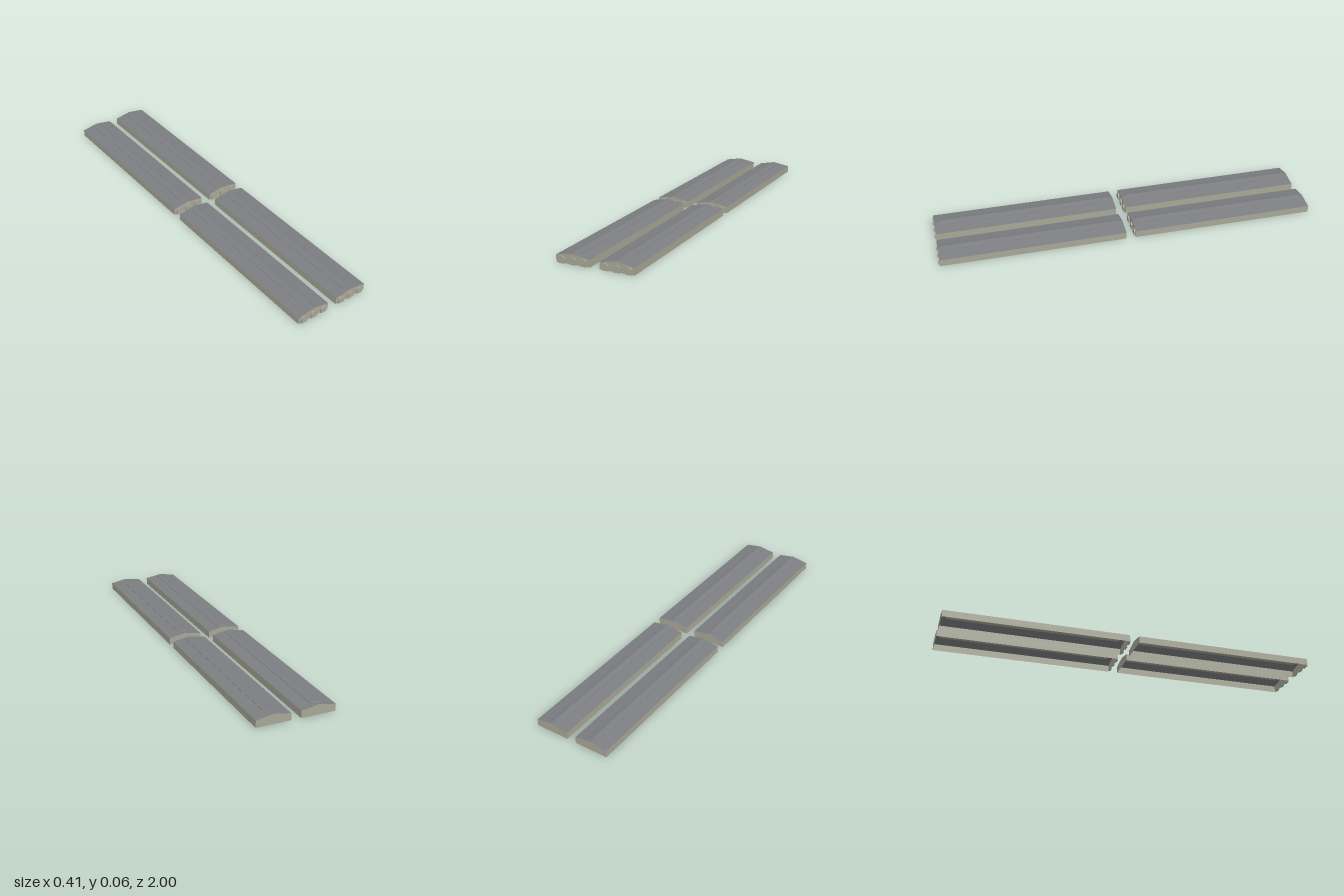
import * as THREE from 'three';

const wallMat = new THREE.MeshStandardMaterial({ color: 0xa8a797, side: THREE.DoubleSide });
const roofMat = new THREE.MeshStandardMaterial({ color: 0x7c7e81, side: THREE.DoubleSide });
wallMat.name = 'paleStone';
roofMat.name = 'greyRoof';

const HALF = 0.0895;   // half width of a hall
const LENGTH = 0.971;  // wall to wall
const PORCH = 0.007;   // how far the arches stand out

function add(group, name, geometry, material, z = 0) {
  const mesh = new THREE.Mesh(geometry, material);
  mesh.name = name;
  mesh.position.z = z;
  group.add(mesh);
  return mesh;
}

// Sheet that follows an open outline [x, y] and runs from z0 to z1
function sheet(points, z0, z1) {
  const pos = [];
  for (let i = 0; i < points.length - 1; i++) {
    const [ax, ay] = points[i], [bx, by] = points[i + 1];
    pos.push(ax, ay, z0, ax, ay, z1, bx, by, z1);
    pos.push(ax, ay, z0, bx, by, z1, bx, by, z0);
  }
  const g = new THREE.BufferGeometry();
  g.setAttribute('position', new THREE.Float32BufferAttribute(pos, 3));
  g.computeVertexNormals();
  return g;
}

function outline(points) {
  return new THREE.Shape(points.map(([x, y]) => new THREE.Vector2(x, y)));
}

// Round-headed doorway block
function archShape(w, h) {
  const s = new THREE.Shape();
  s.moveTo(-w, 0);
  s.lineTo(w, 0);
  s.lineTo(w, h - w);
  s.absarc(0, h - w, w, 0, Math.PI, false);
  s.closePath();
  return s;
}

function createHall() {
  const hall = new THREE.Group();
  hall.name = 'hall';

  // Open-bottomed shell
  const roofLine = [[-HALF, 0.036], [0, 0.0515], [HALF, 0.036]];
  const gable = new THREE.ShapeGeometry(outline([[-HALF, 0], [HALF, 0], ...roofLine.slice().reverse()]));
  add(hall, 'frontWall', gable, wallMat, LENGTH);
  const back = add(hall, 'backWall', gable, wallMat);
  back.rotation.y = Math.PI;
  for (const side of [-1, 1]) {
    const wall = side < 0
      ? [[-HALF, 0], [-HALF, 0.036]]
      : [[HALF, 0.036], [HALF, 0]];
    add(hall, side < 0 ? 'rightWall' : 'leftWall', sheet(wall, 0, LENGTH), wallMat);
  }
  add(hall, 'mainRoof', sheet(roofLine, 0, LENGTH), roofMat);

  // Raised ridge lantern, set in from both ends
  const inset = 0.026;
  const body = new THREE.ExtrudeGeometry(
    outline([[-0.025, 0.045], [0.025, 0.045], [0.025, 0.0505], [0, 0.0565], [-0.025, 0.0505]]),
    { depth: LENGTH - 2 * inset - 0.006, bevelEnabled: false });
  add(hall, 'ridgeLantern', body, wallMat, inset + 0.003);
  const cap = new THREE.ExtrudeGeometry(
    outline([[-0.0295, 0.049], [0, 0.0563], [0.0295, 0.049], [0.0295, 0.0505], [0, 0.0578], [-0.0295, 0.0505]]),
    { depth: LENGTH - 2 * inset, bevelEnabled: false });
  add(hall, 'lanternRoof', cap, roofMat, inset);

  // Three arched entrances
  const arch = new THREE.ExtrudeGeometry(archShape(0.0165, 0.036),
    { depth: PORCH, bevelEnabled: false, curveSegments: 12 });
  for (const x of [-0.0595, 0, 0.0595]) {
    add(hall, 'archedEntrance', arch, wallMat, LENGTH).position.x = x;
  }
  return hall;
}

export function createModel() {
  const model = new THREE.Group();
  model.name = 'hallBlock';
  // Two by two halls, all facing the same way
  for (const x of [-0.115, 0.115]) {
    for (const z of [-1, 1 - LENGTH - PORCH]) {
      const hall = createHall();
      hall.position.set(x, 0, z);
      model.add(hall);
    }
  }
  return model;
}
